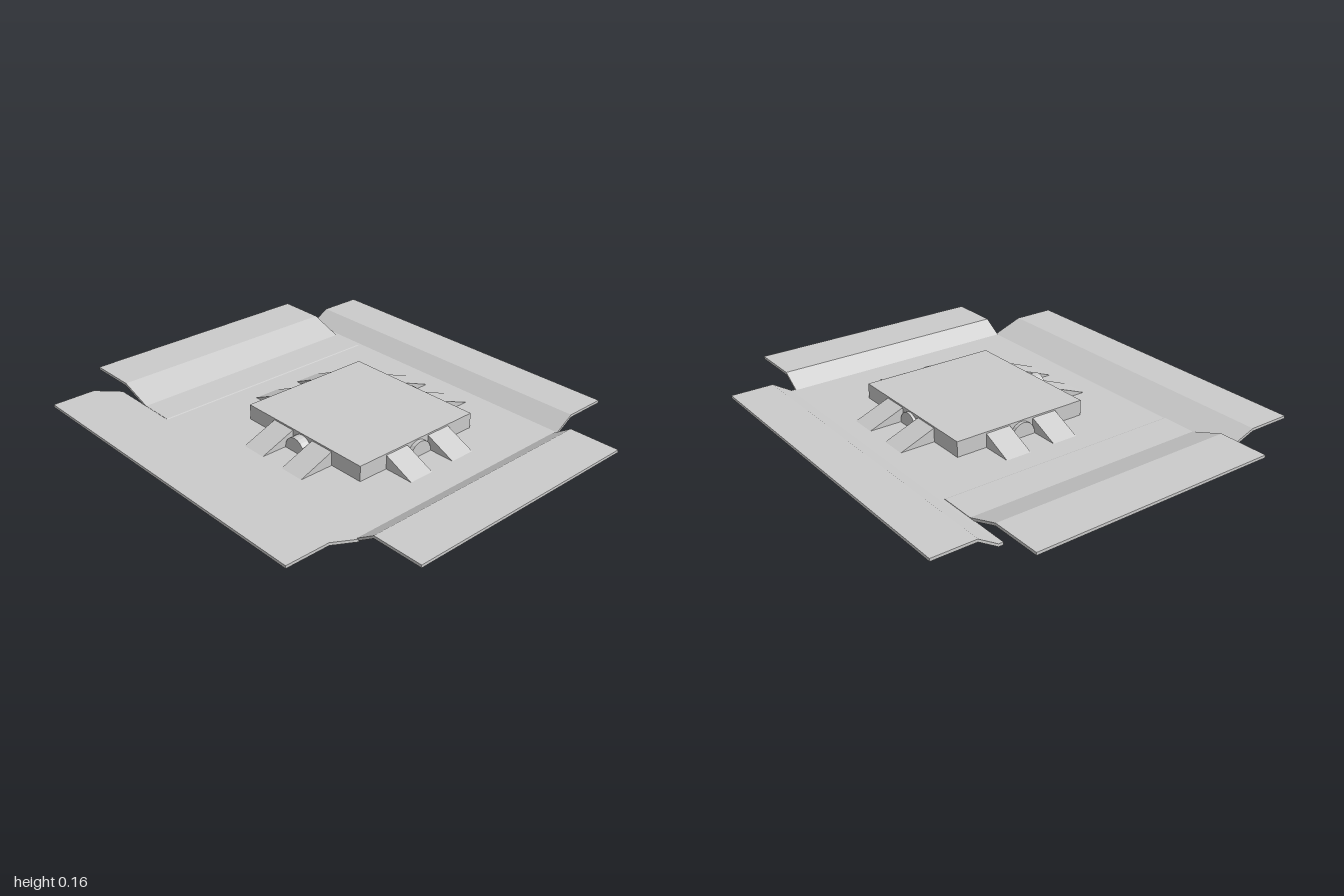
import * as THREE from 'three';

const material = new THREE.MeshStandardMaterial({ color: 0xcccccc, flatShading: true });

// Extrudes a profile of [outward, height] points, centred across its width
function extrude(name, points, width) {
  const shape = new THREE.Shape(points.map(([u, v]) => new THREE.Vector2(u, v)));
  const geometry = new THREE.ExtrudeGeometry(shape, { depth: width, bevelEnabled: false });
  geometry.translate(0, 0, -width / 2);
  const mesh = new THREE.Mesh(geometry, material);
  mesh.name = name;
  return mesh;
}

// Closes a bottom line into a thin sheet profile
function sheet(line, thickness = 0.012) {
  return [...line, ...line.map(([u, v]) => [u, v + thickness]).reverse()];
}

export function createModel() {
  const model = new THREE.Group();
  model.name = 'foldedTray';

  // Floor with raised left and right flaps and a faint crease
  const floor = extrude('floorAndSideFlaps', sheet([
    [-1, 0.13], [-0.78, 0.13], [-0.63, 0.077], [-0.475, 0.077], [-0.47, 0.075],
    [0.69, 0.075], [0.775, 0.13], [1, 0.13],
  ]), 1.105);
  floor.position.z = -0.02;
  model.add(floor);

  // Front and back flaps
  const flaps = [
    ['frontFlap', [[0.53, 0.075], [0.67, 0.127], [0.862, 0.127]], 1],
    ['backFlap', [[0.57, 0.075], [0.59, 0.075], [0.675, 0.127], [0.866, 0.127]], -1],
  ];
  for (const [name, line, side] of flaps) {
    const flap = extrude(name, sheet(line), 1.52);
    flap.rotation.y = -side * Math.PI / 2;
    flap.position.x = -0.06;
    model.add(flap);
  }

  // Raised central block
  const centre = new THREE.Group();
  centre.name = 'centralUnit';
  centre.position.set(0.095, 0, -0.043);
  model.add(centre);
  const block = new THREE.Mesh(new THREE.BoxGeometry(0.67, 0.075, 0.625), material);
  block.name = 'block';
  block.position.y = 0.1175;
  centre.add(block);

  // Each side: two sloping legs through the floor and a rounded nub between them
  const sides = [
    ['left', 0, 0.335, 0.353, 0],
    ['back', Math.PI / 2, 0.3125, 0.325, 0.011],
    ['right', Math.PI, 0.335, 0.35, 0],
    ['front', -Math.PI / 2, 0.3125, 0.353, 0.011],
  ];
  for (const [name, angle, half, nubEnd, foot] of sides) {
    const side = new THREE.Group();
    side.name = name + 'Side';
    side.rotation.y = angle;
    for (const s of [-1, 1]) {
      const leg = extrude('leg', [
        [0.26, 0.095], [0.472, foot], [0.472, 0.086], [half, 0.148], [0.26, 0.148],
      ], 0.116);
      leg.position.z = s * 0.116;
      side.add(leg);
    }
    const length = nubEnd - 0.25;
    const nubGeometry = new THREE.CylinderGeometry(0.057, 0.057, length, 20);
    nubGeometry.rotateZ(Math.PI / 2);
    nubGeometry.scale(1, 1.05, 1);
    // Keep the nub above the floor as a half round
    const p = nubGeometry.attributes.position;
    for (let i = 0; i < p.count; i++) p.setY(i, Math.max(p.getY(i), -0.01));
    const nub = new THREE.Mesh(nubGeometry, material);
    nub.name = 'nub';
    nub.position.set(0.25 + length / 2, 0.09, 0);
    side.add(nub);
    centre.add(side);
  }
  return model;
}
